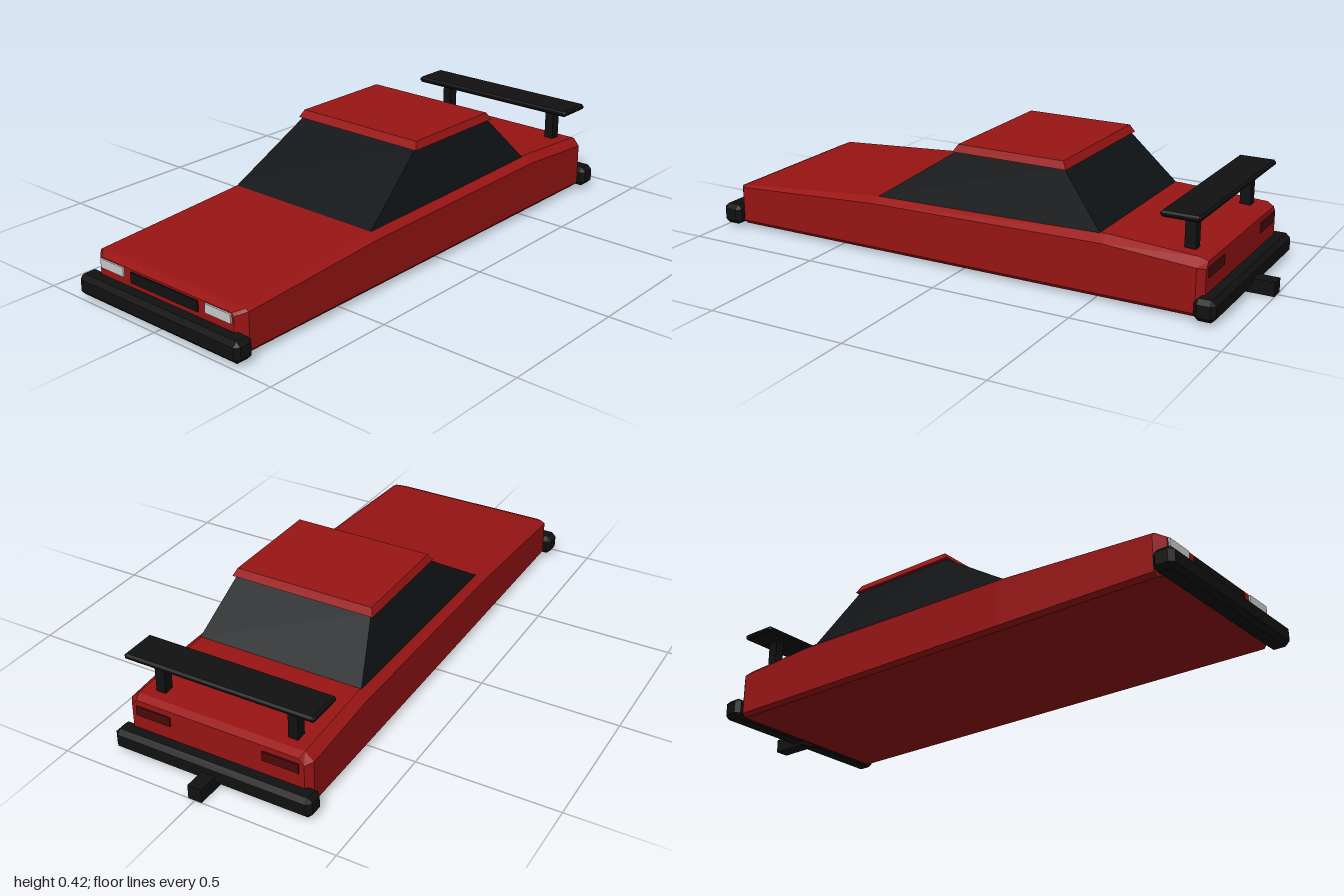
import * as THREE from 'three';
import { ConvexGeometry } from 'three/addons/geometries/ConvexGeometry.js';

const mat = (color) => new THREE.MeshStandardMaterial({ color, flatShading: true });

// Loft closed rings (counter-clockwise seen from +z), listed front to back, with capped ends
function loft(rings) {
  const pos = [];
  const tri = (a, b, c) => pos.push(...a, ...b, ...c);
  const n = rings[0].length;
  for (let i = 0; i < rings.length - 1; i++) {
    for (let j = 0; j < n; j++) {
      const k = (j + 1) % n;
      const a = rings[i][j], b = rings[i][k], c = rings[i + 1][k], d = rings[i + 1][j];
      tri(a, d, c);
      tri(a, c, b);
    }
  }
  const first = rings[0], last = rings[rings.length - 1];
  for (let j = 1; j < n - 1; j++) {
    tri(first[0], first[j], first[j + 1]);
    tri(last[0], last[j + 1], last[j]);
  }
  const g = new THREE.BufferGeometry();
  g.setAttribute('position', new THREE.Float32BufferAttribute(pos, 3));
  g.computeVertexNormals();
  return g;
}

// Box with every edge cut at an angle
function chamferBox(w, h, d, c) {
  const pts = [];
  for (const sx of [-1, 1]) for (const sy of [-1, 1]) for (const sz of [-1, 1]) {
    const x = w / 2, y = h / 2, z = d / 2;
    pts.push(new THREE.Vector3(sx * x, sy * (y - c), sz * (z - c)));
    pts.push(new THREE.Vector3(sx * (x - c), sy * y, sz * (z - c)));
    pts.push(new THREE.Vector3(sx * (x - c), sy * (y - c), sz * z));
  }
  return new ConvexGeometry(pts);
}

// Tapered block; each level is { x, front: [z, y], back: [z, y] }
function taper(bottom, top) {
  const g = new THREE.BoxGeometry(2, 2, 2).toNonIndexed();
  const p = g.attributes.position;
  for (let i = 0; i < p.count; i++) {
    const level = p.getY(i) > 0 ? top : bottom;
    const [z, y] = p.getZ(i) > 0 ? level.front : level.back;
    p.setXYZ(i, p.getX(i) * level.x, y, z);
  }
  g.computeVertexNormals();
  return g;
}

export function createModel() {
  const car = new THREE.Group();
  car.name = 'car';
  const red = mat(0x991414), black = mat(0x111111), glass = mat(0x101316);
  const lamp = mat(0xcccccc), tailRed = mat(0x4a0a0a);

  const add = (name, geometry, material, x = 0, y = 0, z = 0) => {
    const m = new THREE.Mesh(geometry, material);
    m.name = name;
    m.position.set(x, y, z);
    car.add(m);
    return m;
  };

  // Wedge body: z, bottom half width, bottom y, side half width, belt y, deck half width, deck y
  const stations = [
    [0.95, 0.29, 0.025, 0.305, 0.138, 0.297, 0.148],
    [0.92, 0.325, 0.013, 0.338, 0.153, 0.325, 0.161],
    [0.34, 0.325, 0.013, 0.338, 0.186, 0.308, 0.205],
    [-0.53, 0.325, 0.013, 0.338, 0.198, 0.305, 0.222],
    [-0.85, 0.325, 0.013, 0.338, 0.177, 0.307, 0.204],
    [-0.875, 0.3, 0.025, 0.318, 0.17, 0.3, 0.192],
  ];
  add('body', loft(stations.map(([z, wb, y0, ws, belt, wt, top]) => {
    const half = [[wb, y0], [ws, y0 + 0.014], [ws, belt], [wt, top]];
    const mirrored = half.map(([x, y]) => [-x, y]).reverse();
    return [...half, ...mirrored].map(([x, y]) => [x, y, z]);
  })), red);

  // Cabin glass and roof
  add('cabinGlass', taper(
    { x: 0.308, front: [0.34, 0.204], back: [-0.51, 0.221] },
    { x: 0.254, front: [0.045, 0.4], back: [-0.35, 0.4] },
  ), glass);
  add('roof', taper(
    { x: 0.267, front: [0.062, 0.395], back: [-0.365, 0.395] },
    { x: 0.255, front: [0.045, 0.421], back: [-0.35, 0.421] },
  ), red);

  // Bumpers and exhaust
  add('frontBumper', chamferBox(0.73, 0.074, 0.075, 0.016), black, 0, 0.049, 0.9625);
  add('rearBumper', chamferBox(0.73, 0.074, 0.075, 0.016), black, 0, 0.049, -0.8875);
  add('exhaust', new THREE.BoxGeometry(0.05, 0.05, 0.14), black, 0, 0.025, -0.93);

  // Grille and lights
  add('grille', new THREE.BoxGeometry(0.306, 0.038, 0.02), black, 0, 0.122, 0.945);
  for (const [side, s] of [['left', 1], ['right', -1]]) {
    add(side + 'Headlight', new THREE.BoxGeometry(0.11, 0.032, 0.02), lamp, s * 0.242, 0.129, 0.946);
    add(side + 'Taillight', new THREE.BoxGeometry(0.13, 0.034, 0.02), tailRed, s * 0.235, 0.155, -0.87);
    add(side + 'SpoilerPost', new THREE.BoxGeometry(0.035, 0.14, 0.038), black, s * 0.245, 0.262, -0.797);
  }

  // Rear wing
  add('spoilerWing', chamferBox(0.692, 0.021, 0.135, 0.007), black, 0, 0.334, -0.793);

  return car;
}
